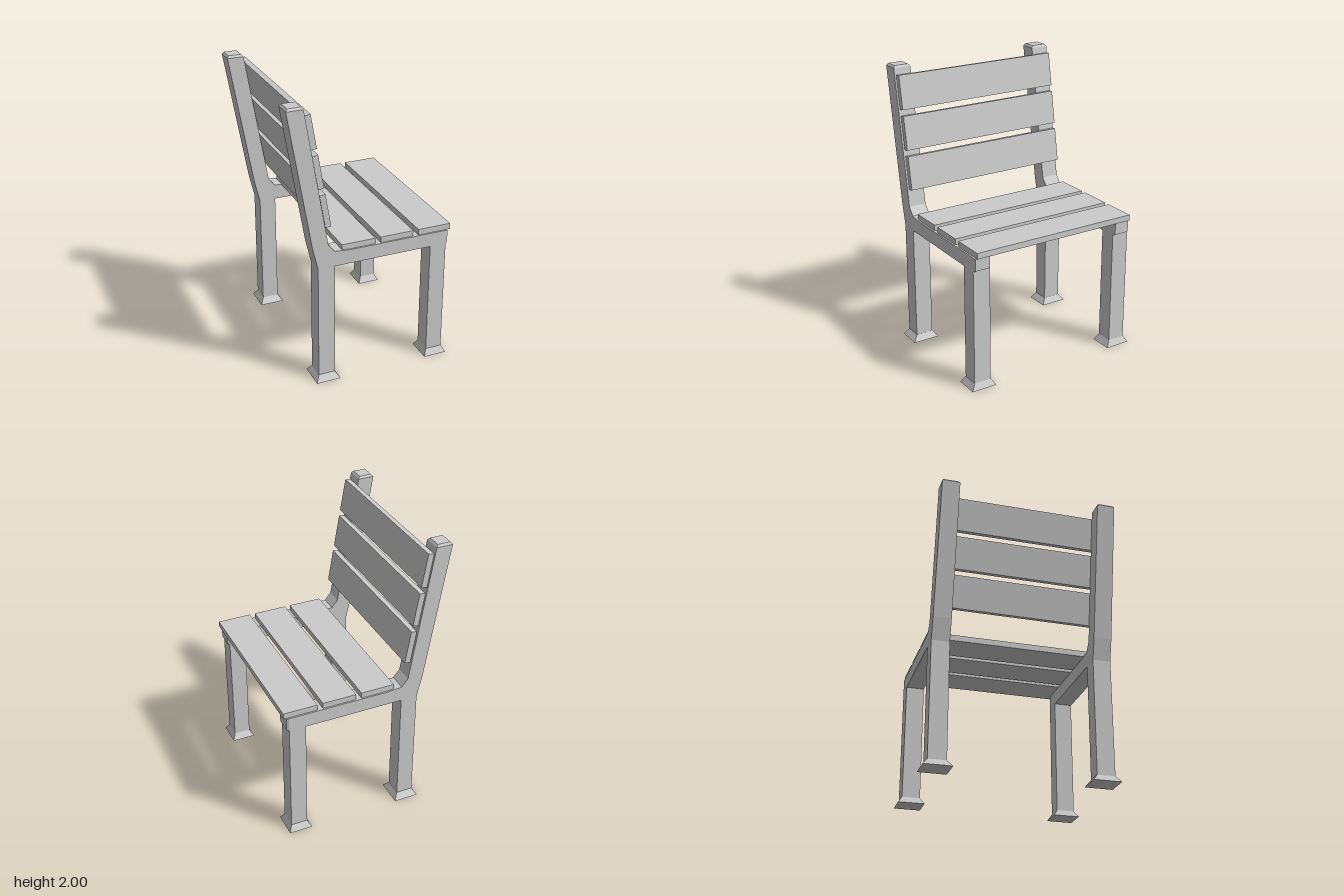
import * as THREE from 'three';

const material = new THREE.MeshStandardMaterial({ color: 0xcccccc, flatShading: true });

function addMesh(parent, name, geometry, x = 0, y = 0, z = 0, tilt = 0) {
  const mesh = new THREE.Mesh(geometry, material);
  mesh.name = name;
  mesh.position.set(x, y, z);
  mesh.rotation.z = tilt;
  parent.add(mesh);
  return mesh;
}

// Four-sided block from a base size to a top size, standing on y = 0
function taperedBlock(baseX, baseZ, topX, topZ, height) {
  const g = new THREE.BoxGeometry(1, height, 1).translate(0, height / 2, 0);
  const p = g.attributes.position;
  for (let i = 0; i < p.count; i++) {
    const top = p.getY(i) > height / 2;
    p.setX(i, p.getX(i) * (top ? topX : baseX));
    p.setZ(i, p.getZ(i) * (top ? topZ : baseZ));
  }
  g.computeVertexNormals();
  return g;
}

// Side profile: both legs, the seat rail and the leaning back post in one piece
const sideProfile = [
  [-0.388, 0.04], [-0.27, 0.04], [-0.27, 0.865], [0.432, 0.865], [0.432, 0.04],
  [0.55, 0.04], [0.55, 0.965], [-0.16, 0.965], [-0.27, 0.975], [-0.315, 1.03],
  [-0.475, 1.985], [-0.59, 1.985], [-0.425, 1.02], [-0.388, 0.865],
];

function sideFrame(side) {
  const frame = new THREE.Group();
  const depth = 0.126;
  const zMid = side * 0.563;
  const shape = new THREE.Shape(sideProfile.map(([x, y]) => new THREE.Vector2(x, y)));
  const body = new THREE.ExtrudeGeometry(shape, { depth, bevelEnabled: false });
  addMesh(frame, 'legsRailAndPost', body.translate(0, 0, -depth / 2), 0, 0, zMid);

  // Chamfered post top and rail end
  addMesh(frame, 'postCap', taperedBlock(0.115, depth, 0.09, 0.1, 0.015), -0.5325, 1.985, zMid);
  addMesh(frame, 'railEnd', taperedBlock(0.1, depth, 0.085, 0.11, 0.015), 0.55, 0.915, zMid, -Math.PI / 2);

  // Flared feet
  addMesh(frame, 'backFoot', taperedBlock(0.175, 0.195, 0.118, depth, 0.045), -0.328, 0, zMid);
  addMesh(frame, 'frontFoot', taperedBlock(0.165, 0.185, 0.118, depth, 0.045), 0.491, 0, zMid);
  return frame;
}

export function createModel() {
  const chair = new THREE.Group();
  chair.name = 'slattedChair';

  for (const side of [1, -1]) {
    const frame = sideFrame(side);
    frame.name = side > 0 ? 'nearSideFrame' : 'farSideFrame';
    chair.add(frame);
  }

  // Seat slats
  const seatSlat = new THREE.BoxGeometry(0.24, 0.042, 1.23);
  for (let i = 0; i < 3; i++) {
    addMesh(chair, `seatSlat${i + 1}`, seatSlat, -0.095 + i * 0.28, 0.985, 0);
  }

  // Backrest slats, leaning with the posts
  const backSlat = new THREE.BoxGeometry(0.04, 0.238, 1.23);
  for (let i = 0; i < 3; i++) {
    addMesh(chair, `backSlat${i + 1}`, backSlat, -0.33 - i * 0.0475, 1.271 + i * 0.277, 0, 0.168);
  }
  return chair;
}
